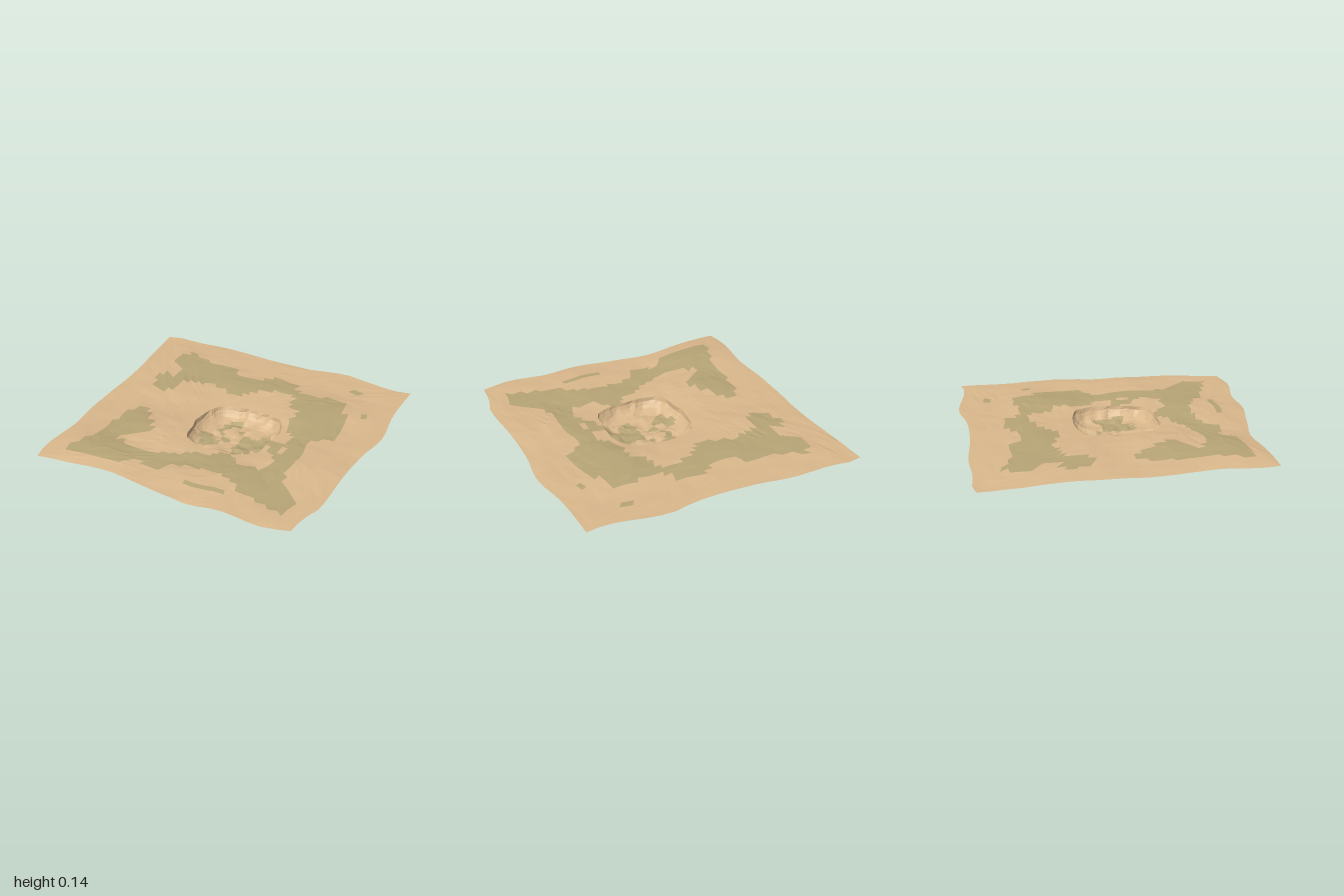
import * as THREE from 'three';

const SIDE = 20;          // facets along each side of the patch
const AROUND = SIDE * 4;
const CX = 0.065, CZ = 0.055; // basin centre

// Wavy outline, one spline per side, running round the patch
const sides = [
  [[-1, -0.98], [-0.95, -1], [-0.75, -0.985], [-0.5, -0.995], [-0.15, -0.96], [0.2, -0.96], [0.42, -1], [0.82, -0.935], [0.96, -0.95]],
  [[0.96, -0.95], [0.96, -0.6], [1, -0.28], [0.96, 0], [0.95, 0.3], [0.95, 0.68], [0.91, 0.8], [0.89, 0.96]],
  [[0.89, 0.96], [0.7, 1], [0.4, 0.96], [0.2, 0.985], [0, 0.955], [-0.15, 0.93], [-0.4, 0.89], [-0.7, 0.925], [-0.94, 0.94]],
  [[-0.94, 0.94], [-0.96, 0.8], [-0.935, 0.5], [-0.96, 0.2], [-0.95, -0.4], [-0.98, -0.7], [-1, -0.98]],
];

function outlinePoints() {
  return sides.flatMap((side) => {
    const curve = new THREE.CatmullRomCurve3(side.map(([x, z]) => new THREE.Vector3(x, 0, z)));
    return curve.getSpacedPoints(SIDE).slice(0, SIDE);
  });
}

// Repeatable value noise, -1 to 1
function hash(i, j) {
  const s = Math.sin(i * 127.1 + j * 311.7) * 43758.5453;
  return (s - Math.floor(s)) * 2 - 1;
}
function noise(x, z) {
  const i = Math.floor(x), j = Math.floor(z);
  const u = THREE.MathUtils.smoothstep(x - i, 0, 1), v = THREE.MathUtils.smoothstep(z - j, 0, 1);
  const { lerp } = THREE.MathUtils;
  return lerp(lerp(hash(i, j), hash(i + 1, j), u), lerp(hash(i, j + 1), hash(i + 1, j + 1), u), v);
}
const bump = (x, z, cx, cz, r) => Math.exp(-((x - cx) ** 2 + (z - cz) ** 2) / (r * r));

// Ground around the basin: low mounds, shallow terraces and a thin border
function groundHeight(x, z, t) {
  const middle = Math.sin(Math.PI * Math.min(1, t));
  let y = 0.1 + 0.008 * middle;
  y += 0.03 * bump(x, z, -0.72, 0.72, 0.3) + 0.018 * bump(x, z, -0.4, 0.35, 0.25);
  y += 0.018 * bump(x, z, 0.42, -0.3, 0.18) + 0.014 * bump(x, z, 0.75, 0.3, 0.2);
  y -= 0.014 * bump(x, z, -1, -1, 0.4);
  const steps = noise(x * 4 + 7, z * 4 + 3) * 2;
  y += 0.005 * middle * (Math.round(steps) * 0.6 + steps * 0.4);
  return y + 0.003 * noise(x * 13, z * 13);
}

// Basin section: share of the rim radius, height
const basin = [[0.1, 0.01], [0.22, 0.012], [0.34, 0.011], [0.46, 0.012], [0.57, 0.014], [0.68, 0.017],
  [0.78, 0.024], [0.87, 0.037], [0.93, 0.055], [0.98, 0.078]];
const OUTER = 17;

function buildRings() {
  const outline = outlinePoints();
  const rim = outline.map((p) => {
    // Rounded-square rim in the direction of the outline point
    const a = Math.atan2(p.z - CZ, p.x - CX), c = Math.cos(a), s = Math.sin(a);
    const r = 0.285 / Math.pow(Math.abs(c) ** 3.2 + Math.abs(s) ** 3.2, 1 / 3.2);
    const wobble = 1 + 0.04 * noise(c * 3 + 9, s * 3 + 4);
    return new THREE.Vector3(CX + c * r * wobble, 0, CZ + s * r * wobble);
  });
  const centre = new THREE.Vector3(CX, 0.01, CZ);
  const rings = basin.map(([share, h]) => rim.map((p) => {
    const v = centre.clone().lerp(p, share);
    v.x += 0.008 * noise(v.x * 25, v.z * 25);
    v.z += 0.008 * noise(v.x * 25 + 50, v.z * 25);
    v.y = h + 0.009 * noise(v.x * 22 + 5, v.z * 22 + 8);
    return v;
  }));
  for (let k = 0; k <= OUTER; k++) {
    const t = k / OUTER;
    rings.push(rim.map((p, i) => {
      const v = p.clone().lerp(outline[i], t);
      const drift = 0.03 * Math.sin(Math.PI * t);
      v.x += drift * noise(v.x * 5 + 20, v.z * 5);
      v.z += drift * noise(v.x * 5, v.z * 5 + 30);
      v.y = groundHeight(v.x, v.z, t);
      return v;
    }));
  }
  return { rings, centre };
}

export function createModel() {
  const group = new THREE.Group();
  group.name = 'terrainPatch';
  const { rings, centre } = buildRings();
  const sand = [], scrub = [];

  const addFace = (list, ...points) => points.forEach((p) => list.push(p.x, p.y, p.z));
  // Scrub grows in a broken band round the basin and in spots on its floor
  function surfaceAt(p) {
    const d = Math.max(Math.abs(p.x), Math.abs(p.z));
    const band = d > 0.36 && d < 0.8 ? 1 - Math.abs(d - 0.58) / 0.24 : -0.5;
    const floor = Math.hypot(p.x - CX, p.z - CZ) < 0.24;
    const growth = floor ? noise(p.x * 16, p.z * 16) - 0.1 : band + 0.9 * noise(p.x * 6 + 2, p.z * 6 + 9) - 0.5;
    return growth > 0 ? scrub : sand;
  }

  for (let i = 0; i < AROUND; i++) {
    const n = (i + 1) % AROUND;
    addFace(sand, centre, rings[0][n], rings[0][i]);
    for (let k = 0; k + 1 < rings.length; k++) {
      const a = rings[k][i], b = rings[k][n], c = rings[k + 1][n], d = rings[k + 1][i];
      const list = surfaceAt(a.clone().add(c).multiplyScalar(0.5));
      addFace(list, a, b, c);
      addFace(list, a, c, d);
    }
  }

  const lowest = Math.min(...rings.flat().map((p) => p.y), centre.y);
  for (const [name, list, color] of [['sandyGround', sand, 0xdab88c], ['scrubPatches', scrub, 0xb8a577]]) {
    const geometry = new THREE.BufferGeometry();
    geometry.setAttribute('position', new THREE.Float32BufferAttribute(list, 3));
    geometry.translate(0, -lowest, 0);
    geometry.computeVertexNormals();
    const material = new THREE.MeshStandardMaterial({ color, flatShading: true, side: THREE.DoubleSide });
    const mesh = new THREE.Mesh(geometry, material);
    mesh.name = name;
    group.add(mesh);
  }
  return group;
}
